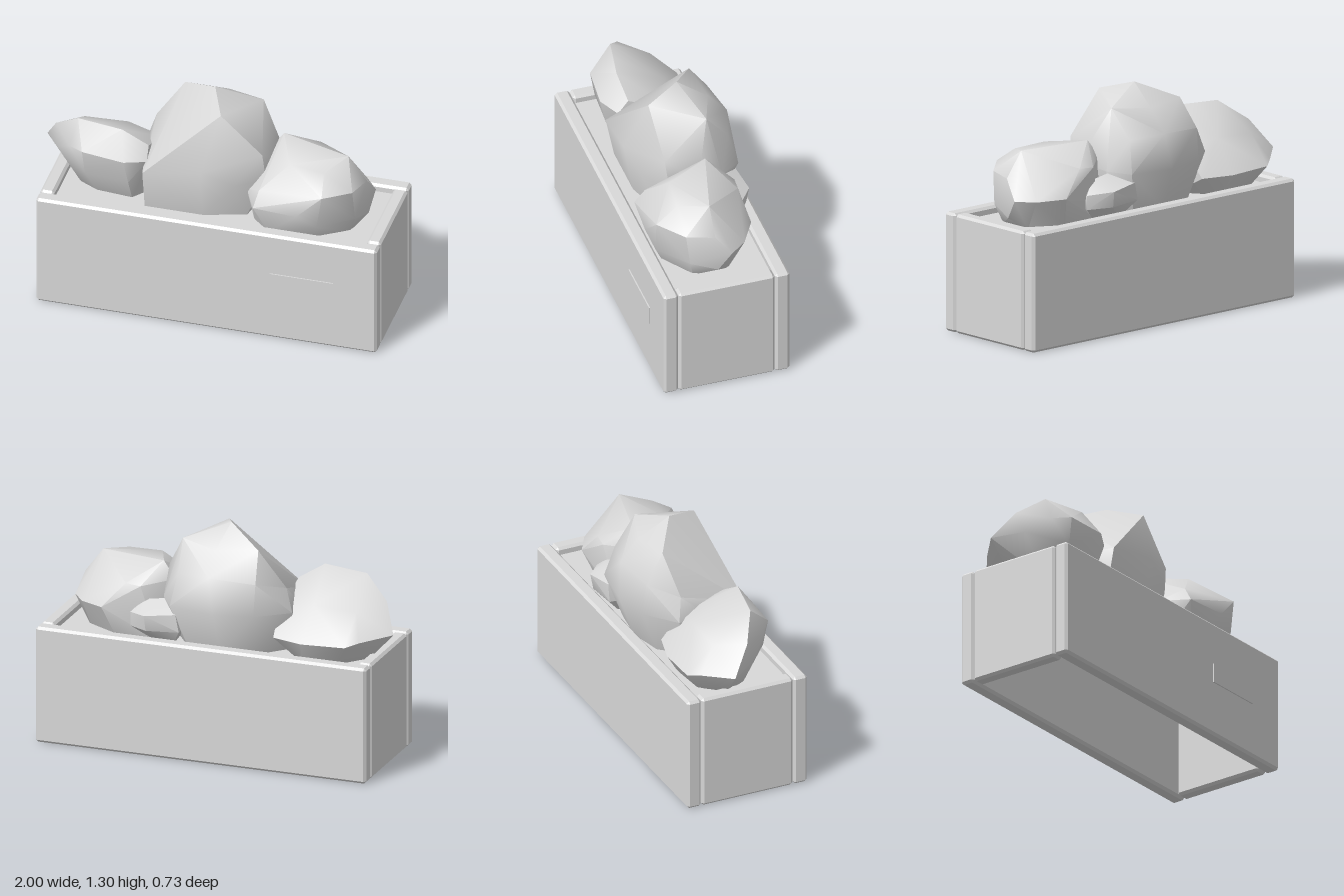
import * as THREE from 'three';
import { toCreasedNormals } from 'three/addons/utils/BufferGeometryUtils.js';
import { ConvexGeometry } from 'three/addons/geometries/ConvexGeometry.js';

const stone = new THREE.MeshStandardMaterial({ color: 0xd9d9d9 });
stone.name = 'pale grey';

// Box with chamfered edges, given by its min and max corners
function chamferedBox(name, min, max, bevel = 0.014) {
  const points = [];
  for (let i = 0; i < 8; i++) {
    for (let full = 0; full < 3; full++) {
      const p = [0, 1, 2].map((axis) => {
        const high = (i >> axis) & 1;
        const inset = axis === full ? 0 : bevel;
        return high ? max[axis] - inset : min[axis] + inset;
      });
      points.push(new THREE.Vector3(...p));
    }
  }
  const mesh = new THREE.Mesh(new ConvexGeometry(points), stone);
  mesh.name = name;
  return mesh;
}

// Plain box, given by its min and max corners
function plainBox(name, min, max) {
  const size = max.map((v, i) => v - min[i]);
  const mesh = new THREE.Mesh(new THREE.BoxGeometry(...size), stone);
  mesh.position.set(...max.map((v, i) => (v + min[i]) / 2));
  mesh.name = name;
  return mesh;
}

// Boulder: convex hull of its corners, soft except at strong edges
function boulder(name, corners) {
  const hull = new ConvexGeometry(corners.map((c) => new THREE.Vector3(...c)));
  const mesh = new THREE.Mesh(toCreasedNormals(hull, 0.72), stone);
  mesh.name = name;
  return mesh;
}

const centreCorners = [
  // crown
  [-0.03, 1.305, -0.05], [0.055, 1.25, 0.14], [-0.24, 1.21, -0.19], [0.22, 1.21, -0.14], [0, 1.19, -0.22],
  // shoulders
  [-0.39, 1.0, -0.15], [0.32, 1.03, -0.08], [0.285, 1.02, 0.12], [-0.03, 0.93, 0.255],
  [-0.265, 1.05, -0.3], [0, 1.065, -0.33], [0.2, 1.05, -0.27], [0.31, 0.88, -0.2],
  // waist
  [-0.36, 0.87, 0.25], [-0.435, 0.87, -0.18], [-0.41, 0.87, 0], [0.23, 0.87, -0.32], [-0.035, 0.865, -0.355],
  [-0.26, 0.87, -0.32], [0.325, 0.9, -0.05], [0.3, 0.85, 0.1], [0.15, 0.85, 0.21],
  // base
  [-0.36, 0.62, 0.2], [-0.03, 0.62, 0.2], [0.2, 0.62, 0.13], [0.25, 0.62, -0.1],
  [0.15, 0.62, -0.24], [-0.05, 0.62, -0.27], [-0.25, 0.62, -0.23], [-0.37, 0.62, -0.1],
];

const leftCorners = [
  // crown
  [0.35, 1.045, -0.09], [0.6, 1.025, -0.02], [0.745, 1.03, 0.015], [0.45, 1.01, 0.15], [0.65, 1.0, 0.17],
  // shoulders
  [0.85, 0.89, 0.015], [0.81, 0.9, 0.17], [0.67, 0.915, 0.295], [0.3, 0.87, 0.24],
  [0.525, 0.935, -0.22], [0.435, 0.93, -0.23], [0.28, 0.95, -0.1],
  // waist
  [0.53, 0.785, 0.315], [0.28, 0.785, 0.295], [0.2, 0.79, 0.13], [0.875, 0.78, -0.075], [0.8, 0.78, -0.17],
  [0.655, 0.79, -0.255], [0.82, 0.72, 0.15], [0.855, 0.67, 0], [0.64, 0.72, 0.29],
  // base
  [0.25, 0.61, 0.15], [0.35, 0.61, 0.24], [0.6, 0.61, 0.24], [0.78, 0.61, 0.12],
  [0.78, 0.61, -0.08], [0.6, 0.61, -0.18], [0.35, 0.61, -0.18],
];

const rightCorners = [
  // crown ridge
  [-0.77, 1.055, 0.09], [-0.64, 1.058, 0.11], [-0.505, 1.06, 0.14], [-0.36, 0.97, 0.12], [-0.92, 0.94, 0],
  // back slope
  [-0.8, 0.91, -0.15], [-0.55, 0.92, -0.15], [-0.34, 0.87, -0.13],
  [-0.85, 0.77, -0.25], [-0.785, 0.75, -0.3], [-0.53, 0.74, -0.3], [-0.35, 0.74, -0.25],
  // front waist
  [-1.0, 0.79, -0.11], [-0.71, 0.93, 0.225], [-0.47, 0.915, 0.245], [-0.355, 0.9, 0.18], [-0.8, 0.91, 0.155],
  [-0.9, 0.82, 0.05], [-0.7, 0.78, 0.2], [-0.45, 0.77, 0.215],
  // base
  [-0.89, 0.67, -0.1], [-0.82, 0.61, -0.08], [-0.72, 0.61, -0.2], [-0.5, 0.61, -0.22],
  [-0.35, 0.61, 0], [-0.45, 0.61, 0.13], [-0.65, 0.61, 0.11], [-0.76, 0.61, 0.05],
];

const smallCorners = [
  [0.2, 0.82, -0.31], [0.375, 0.8, -0.335], [0.49, 0.78, -0.24], [0.3, 0.87, -0.2], [0.42, 0.85, -0.2],
  [0.18, 0.72, -0.31], [0.37, 0.71, -0.32], [0.49, 0.7, -0.24],
  [0.25, 0.61, -0.22], [0.38, 0.61, -0.17], [0.42, 0.7, -0.08], [0.2, 0.7, -0.08],
];

export function createModel() {
  const model = new THREE.Group();
  model.name = 'boulderPlanter';

  // Four chamfered boards, open underneath
  const planter = new THREE.Group();
  planter.name = 'planterBox';
  planter.add(
    chamferedBox('frontBoard', [-0.935, 0, 0.275], [1, 0.668, 0.359]),
    chamferedBox('backBoard', [-0.935, 0, -0.366], [1, 0.668, -0.282]),
    chamferedBox('rightBoard', [-0.935, 0, -0.28], [-0.855, 0.668, 0.273]),
    chamferedBox('leftBoard', [0.92, 0, -0.28], [1, 0.668, 0.273]),
    plainBox('frontPlate', [0.395, 0.31, 0.358], [0.755, 0.42, 0.366]),
  );

  // Fill just below the rim
  const fill = plainBox('fillSurface', [-0.86, 0.6, -0.285], [0.925, 0.625, 0.28]);

  // Boulders resting in the fill
  const boulders = new THREE.Group();
  boulders.name = 'boulders';
  boulders.add(
    boulder('centreBoulder', centreCorners),
    boulder('leftBoulder', leftCorners),
    boulder('rightBoulder', rightCorners),
    boulder('smallBackBoulder', smallCorners),
  );

  model.add(planter, fill, boulders);
  return model;
}
